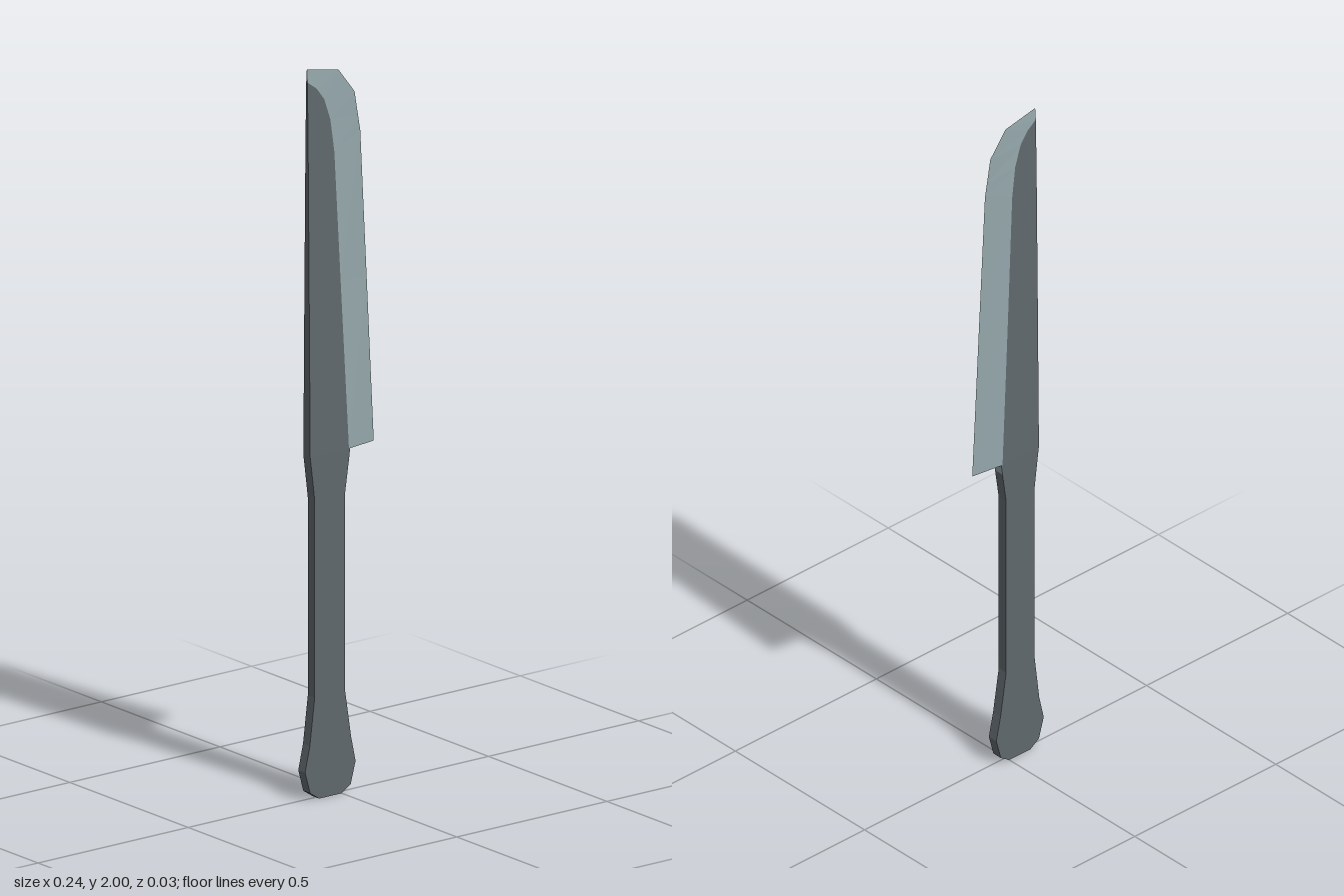
import * as THREE from 'three';

// Flat-faced mesh from a list of quads / triangles (counter-clockwise corners)
function facetMesh(name, faces, material) {
  const pos = [];
  for (const f of faces) {
    for (let i = 1; i < f.length - 1; i++) pos.push(...f[0], ...f[i], ...f[i + 1]);
  }
  const geo = new THREE.BufferGeometry();
  geo.setAttribute('position', new THREE.Float32BufferAttribute(pos, 3));
  geo.computeVertexNormals();
  const mesh = new THREE.Mesh(geo, material);
  mesh.name = name;
  return mesh;
}

// Add a face and its copy mirrored to the back
function bothSides(faces, face) {
  faces.push(face, face.map(([x, y, z]) => [x, y, -z]).reverse());
}

// Loft slab rows [y, left x, right x, half thickness] upwards
function slab(rows, { rightWall = () => true, bottom = false } = {}) {
  const faces = [];
  for (let i = 0; i < rows.length - 1; i++) {
    const [y0, l0, r0, h0] = rows[i];
    const [y1, l1, r1, h1] = rows[i + 1];
    bothSides(faces, [[l0, y0, h0], [r0, y0, h0], [r1, y1, h1], [l1, y1, h1]]);
    faces.push([[l0, y0, -h0], [l0, y0, h0], [l1, y1, h1], [l1, y1, -h1]]);
    if (rightWall(i)) faces.push([[r0, y0, h0], [r0, y0, -h0], [r1, y1, -h1], [r1, y1, h1]]);
  }
  if (bottom) {
    const [y, l, r, h] = rows[0];
    faces.push([[l, y, -h], [r, y, -h], [r, y, h], [l, y, h]]);
  }
  return faces;
}

export function createModel() {
  const group = new THREE.Group();
  group.name = 'knife';
  const darkSteel = new THREE.MeshStandardMaterial({ color: 0x60686d });
  darkSteel.name = 'dark steel';
  const paleSteel = new THREE.MeshStandardMaterial({ color: 0x94a6aa });
  paleSteel.name = 'pale steel';

  // Handle with rounded pommel and flared neck
  const T = 0.0145;
  const handle = [
    [0, -0.075, 0, T], [0.02, -0.105, 0.03, T], [0.08, -0.122, 0.046, T],
    [0.15, -0.106, 0.031, T], [0.28, -0.09, 0.011, T], [0.82, -0.09, 0.011, T],
    [0.91, -0.101, 0.024, T], [0.94, -0.105, 0.028, T],
  ];
  const neck = handle.length - 2;
  group.add(facetMesh('handle', slab(handle, { rightWall: (i) => i < neck, bottom: true }), darkSteel));

  // Small pale facet under the heel of the blade
  const [[ya, , xa], [yb, , xb]] = handle.slice(neck);
  group.add(facetMesh('heelFacet', [[[xa, ya, T], [xa, ya, -T], [xb, yb, -T], [xb, yb, T]]], paleSteel));

  // Blade stations: bevel line x, y, half thickness, then cutting edge x, y
  const SPINE = -0.105;
  const blade = [
    [0.024, 0.94, T, 0.118, 0.94], [0, 1.4, 0.01, 0.094, 1.4],
    [-0.018, 1.76, 0.006, 0.073, 1.8], [-0.03, 1.85, 0.0046, 0.066, 1.84],
    [-0.05, 1.91, 0.0036, 0.054, 1.91], [-0.075, 1.943, 0.003, 0, 1.98],
    [SPINE, 1.965, 0.0025, SPINE, 2],
  ];
  const body = blade.map(([x, y, h]) => [y, SPINE, x, h]);
  group.add(facetMesh('bladeBody', slab(body, { rightWall: () => false }), darkSteel));

  // Ground bevel narrowing to the cutting edge
  const bevel = [];
  for (let i = 0; i < blade.length - 1; i++) {
    const [x0, y0, h0, ex0, ey0] = blade[i];
    const [x1, y1, h1, ex1, ey1] = blade[i + 1];
    bothSides(bevel, [[x0, y0, h0], [ex0, ey0, 0], [ex1, ey1, 0], [x1, y1, h1]]);
  }
  const [hx, hy, hh, hex, hey] = blade[0];
  bevel.push([[hx, hy, -hh], [hex, hey, 0], [hx, hy, hh]]);
  const [tx, ty, th, tex, tey] = blade[blade.length - 1];
  bevel.push([[tx, ty, -th], [tx, ty, th], [tex, tey, 0]]);
  group.add(facetMesh('cuttingBevel', bevel, paleSteel));

  return group;
}
